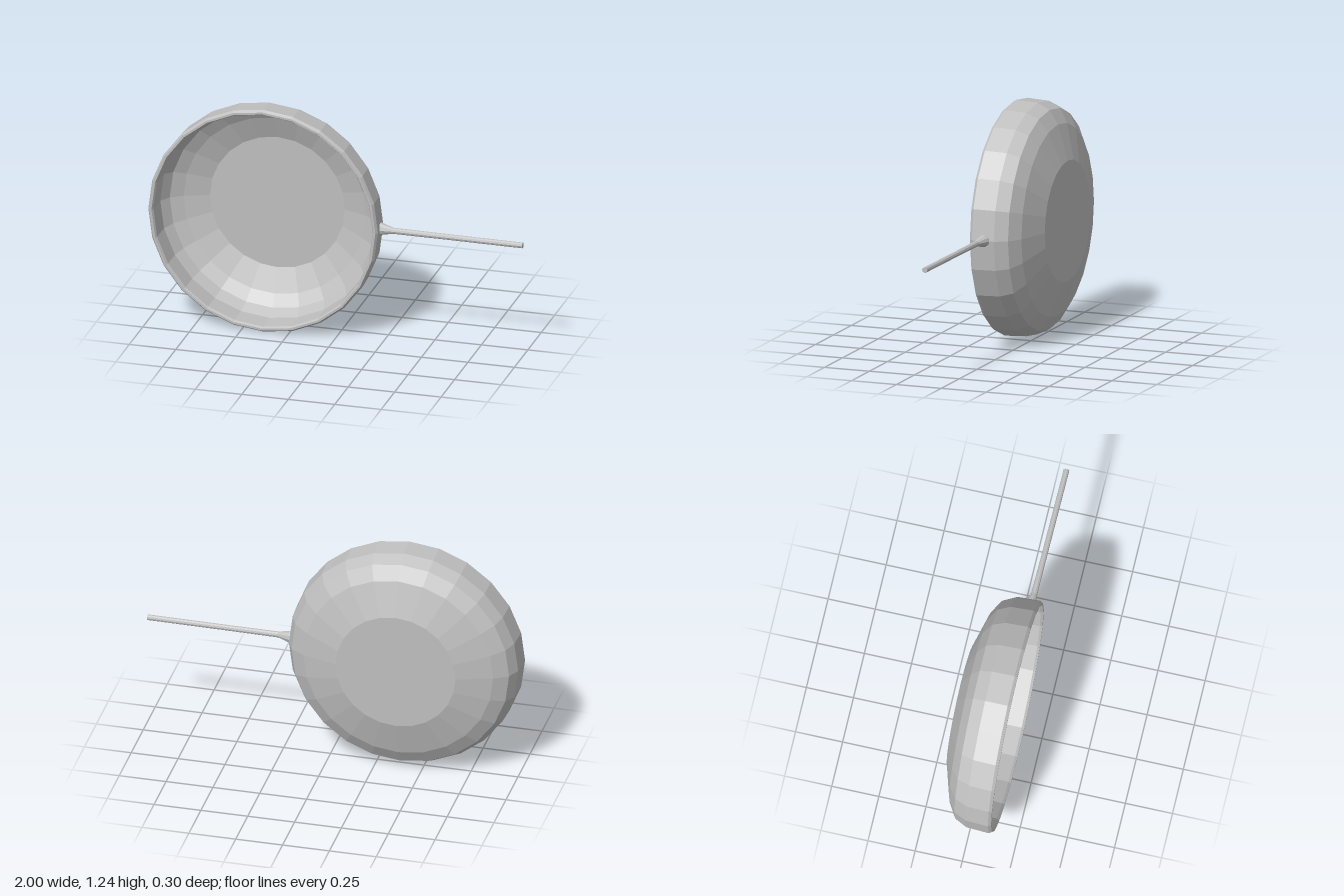
import * as THREE from 'three';

const PAN_X = -0.385, MID_Y = 0.62;

function lathe(points, sides) {
  return new THREE.LatheGeometry(points.map(([r, h]) => new THREE.Vector2(r, h)), sides);
}

export function createModel() {
  const group = new THREE.Group();
  const metal = new THREE.MeshStandardMaterial({ color: 0xbfbfbf, flatShading: true });
  metal.name = 'grey metal';

  // Bowl of the pan: outer shell, rolled lip, then inner shell; opening faces +z
  const bowl = lathe([
    [0, -0.151], [0.32, -0.151], [0.506, -0.095], [0.58, -0.05], [0.612, 0.016],
    [0.618, 0.136], [0.608, 0.151], [0.597, 0.151], [0.59, 0.138],
    [0.587, 0.02], [0.553, -0.038], [0.49, -0.078], [0.363, -0.13], [0, -0.13],
  ], 24);
  bowl.rotateX(Math.PI / 2);
  const pan = new THREE.Mesh(bowl, metal);
  pan.name = 'pan';
  pan.position.set(PAN_X, MID_Y, 0);
  group.add(pan);

  // Handle: flared socket narrowing to a thin rod, drifting slightly forward
  const rod = lathe([
    [0, 0.2], [0.026, 0.2], [0.032, 0.235], [0.027, 0.255], [0.016, 0.3],
    [0.015, 0.6], [0.015, 0.96], [0.015, 1], [0, 1],
  ], 10);
  rod.rotateZ(-Math.PI / 2);
  const pos = rod.attributes.position;
  for (let i = 0; i < pos.count; i++) {
    const x = pos.getX(i);
    const shift = x < 0.3
      ? THREE.MathUtils.mapLinear(x, 0.2, 0.3, 0.067, 0.083)
      : THREE.MathUtils.mapLinear(x, 0.3, 1, 0.083, 0.092);
    pos.setZ(i, pos.getZ(i) + shift);
  }
  const handle = new THREE.Mesh(rod, metal);
  handle.name = 'handle';
  handle.position.y = MID_Y;
  group.add(handle);

  return group;
}
